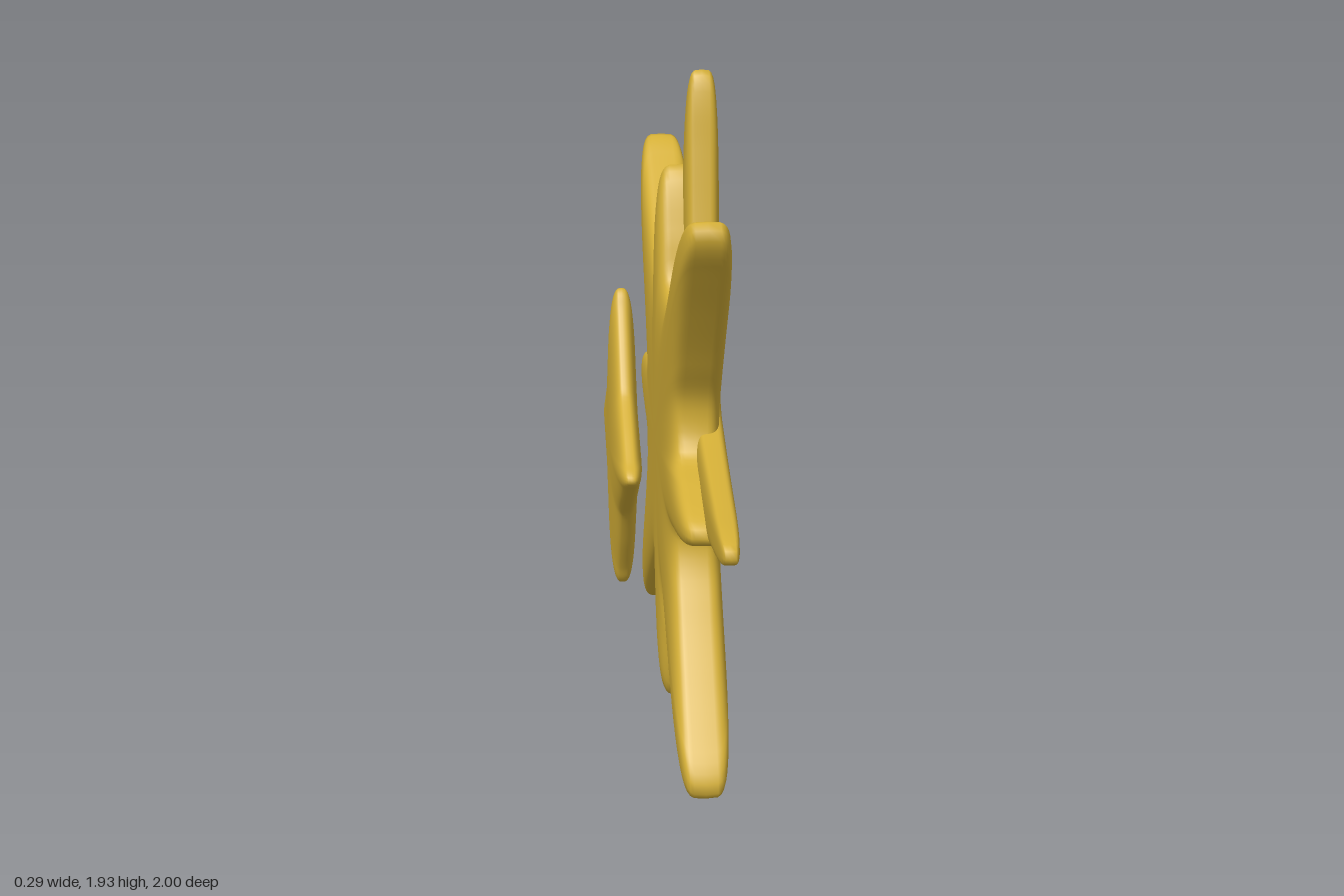
import * as THREE from 'three';
import { mergeVertices } from 'three/addons/utils/BufferGeometryUtils.js';

const RAD = Math.PI / 180;

// Closed smooth outline from arms: angle in the z-y plane, profile = [distance, halfWidth] up to the tip.
function starOutline(arms, count) {
  const pts = [];
  for (const { angle, length, profile } of arms) {
    const c = Math.cos(angle * RAD), s = Math.sin(angle * RAD);
    const add = (r, w) => pts.push(new THREE.Vector3(0, r * s + w * c, r * c - w * s));
    for (const [r, w] of profile) add(r * length, -w);
    add(length, 0);
    for (const [r, w] of [...profile].reverse()) add(r * length, w);
  }
  return new THREE.CatmullRomCurve3(pts, true, 'centripetal').getSpacedPoints(count).slice(0, count);
}

// Puffy star: the outline shrinks toward both faces along a superellipse.
// bodyAt(z) gives [centre x, half thickness].
function puffyStar(arms, power, bodyAt) {
  const count = 320, rings = 30, pos = [], index = [];
  const outline = starOutline(arms, count);
  for (let j = 0; j <= rings; j++) {
    const a = (j / rings) * Math.PI;
    const spread = Math.pow(Math.max(0, Math.sin(a)), 2 / power) * (j === rings ? 0 : 1);
    const t = Math.sign(Math.cos(a)) * Math.pow(Math.abs(Math.cos(a)), 2 / power);
    for (const p of outline) {
      const z = p.z * spread;
      const [cx, half] = bodyAt(z);
      pos.push(cx + half * t, p.y * spread, z);
    }
  }
  for (let j = 0; j < rings; j++) {
    for (let i = 0; i < count; i++) {
      const k = (i + 1) % count;
      const A = j * count + i, B = A + count, C = (j + 1) * count + k, D = j * count + k;
      if (j < rings - 1) index.push(A, C, B);
      if (j > 0) index.push(A, D, C);
    }
  }
  let geo = new THREE.BufferGeometry();
  geo.setAttribute('position', new THREE.Float32BufferAttribute(pos, 3));
  geo.setIndex(index);
  geo = mergeVertices(geo, 1e-5);
  geo.computeVertexNormals();
  return geo;
}

export function createModel() {
  const group = new THREE.Group();
  group.name = 'layeredStar';
  const gold = new THREE.MeshStandardMaterial({ color: 0xd4af37 });
  gold.name = 'gold';

  const addStar = (name, arms, power, bodyAt) => {
    const mesh = new THREE.Mesh(puffyStar(arms, power, bodyAt), gold);
    mesh.name = name;
    mesh.position.y = 0.967;
    group.add(mesh);
  };

  // Outer star: four long upright arms, thinning toward the horizontal tips
  const longProfile = [[0.26, 0.155], [0.42, 0.115], [0.62, 0.08], [0.8, 0.053], [0.93, 0.034], [0.985, 0.018]];
  addStar('outerStar',
    [[0, 1], [90, 0.965], [180, 1], [270, 0.965]].map(([angle, length]) => ({ angle, length, profile: longProfile })),
    5, z => [0.097 - 0.027 * Math.abs(z), 0.047 - 0.017 * Math.abs(z)]);

  // Middle star: four thick diagonal arms with shorter arms between them
  const diagonal = [[0.43, 0.15], [0.56, 0.11], [0.73, 0.075], [0.88, 0.05], [0.95, 0.038], [0.988, 0.02]];
  const short = [[0.58, 0.105], [0.75, 0.07], [0.9, 0.042], [0.975, 0.02]];
  addStar('middleStar', [
    { angle: -4, length: 0.72, profile: short },
    { angle: 45, length: 0.965, profile: diagonal },
    { angle: 94, length: 0.72, profile: short },
    { angle: 135, length: 1.005, profile: diagonal },
    { angle: 176, length: 0.72, profile: short },
    { angle: 225, length: 0.965, profile: diagonal },
    { angle: 274, length: 0.72, profile: short },
    { angle: 315, length: 1.005, profile: diagonal },
  ], 5, () => [0.048, 0.072]);

  // Small floating star behind
  const smallProfile = [[0.42, 0.155], [0.68, 0.088], [0.88, 0.036], [0.975, 0.014]];
  addStar('smallStar',
    [0, 90, 180, 270].map(angle => ({ angle, length: 0.405, profile: smallProfile })),
    3, () => [-0.11, 0.038]);

  return group;
}
